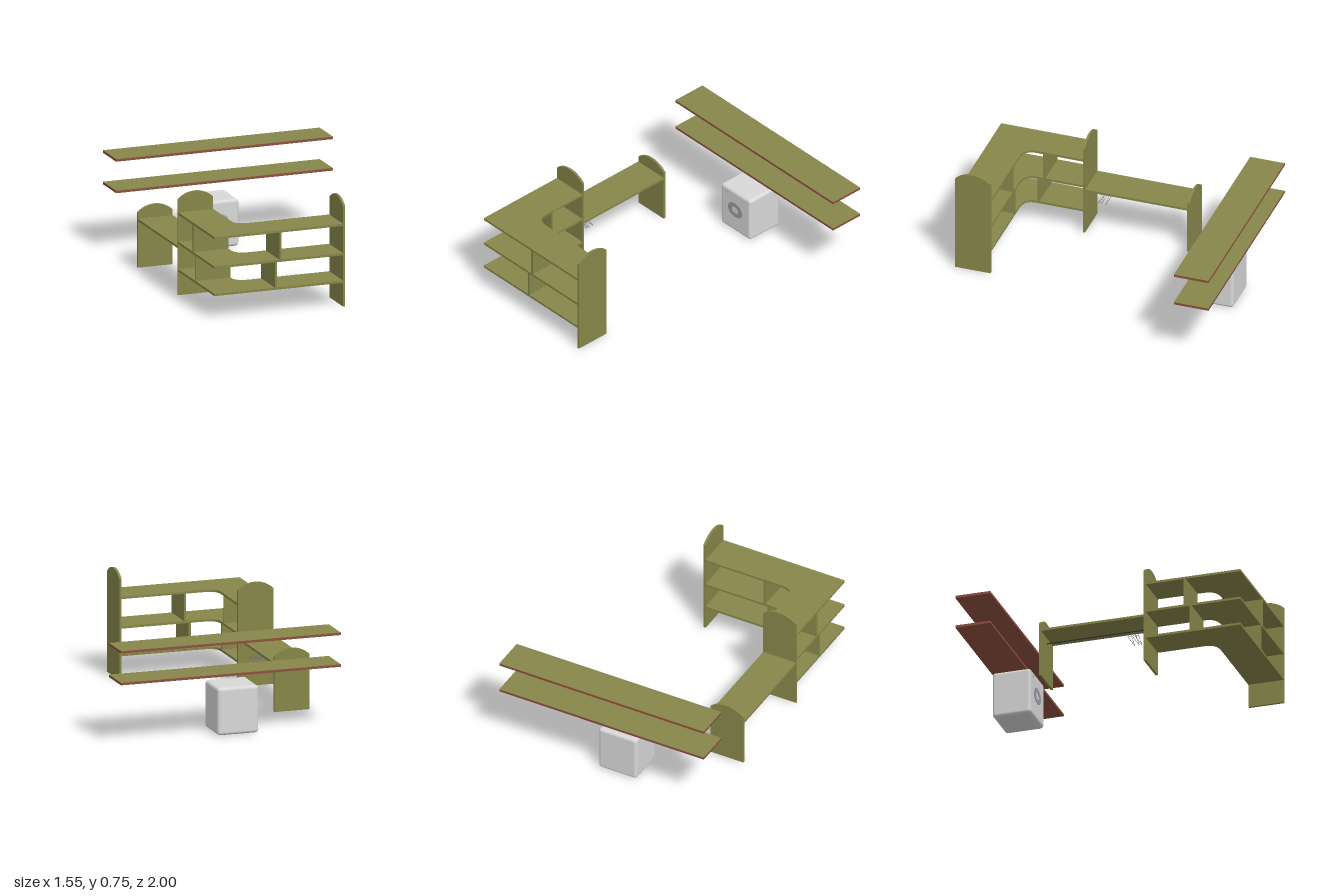
import * as THREE from 'three';
import { RoundedBoxGeometry } from 'three/addons/geometries/RoundedBoxGeometry.js';

const mat = (name, color) => {
  const m = new THREE.MeshStandardMaterial({ color });
  m.name = name;
  return m;
};

export function createModel() {
  const root = new THREE.Group();
  root.name = 'furnitureSet';
  const olive = mat('olive board', 0x86864a);
  const brown = mat('red brown edge', 0x8f5040);
  const white = mat('appliance white', 0xd8d8d8);
  const grey = mat('door grey', 0x9ba0a8);
  const dark = mat('rail dark grey', 0x38383c);
  const wire = mat('hanger grey', 0x77777f);

  const add = (name, geometry, material, parent = root) => {
    const m = new THREE.Mesh(geometry, material);
    m.name = name;
    parent.add(m);
    return m;
  };
  // Box given by its minimum and maximum corners
  const box = (name, a, b, material, parent) => {
    const m = add(name, new THREE.BoxGeometry(b[0] - a[0], b[1] - a[1], b[2] - a[2]), material, parent);
    m.position.set((a[0] + b[0]) / 2, (a[1] + b[1]) / 2, (a[2] + b[2]) / 2);
    return m;
  };

  // Upright end panel with a shallow arched top
  const W = 0.25, T = 0.016;
  const archPanel = (name, height) => {
    const h = W / 2, rise = 0.05, R = (h * h + rise * rise) / (2 * rise), a = Math.asin(h / R);
    const s = new THREE.Shape();
    s.moveTo(-h, 0);
    s.lineTo(h, 0);
    s.lineTo(h, height - rise);
    s.absarc(0, height - R, R, Math.PI / 2 - a, Math.PI / 2 + a, false);
    s.closePath();
    const g = new THREE.ExtrudeGeometry(s, { depth: T, bevelEnabled: false, curveSegments: 16 });
    g.translate(0, 0, -T / 2);
    return add(name, g, olive);
  };
  const sidePanel = archPanel('tallEndPanel', 0.745);
  sidePanel.rotation.y = Math.PI / 2;
  sidePanel.position.set(0.169, 0, 0.873);
  archPanel('middlePanel', 0.71).position.set(-0.635, 0, 0.327);
  archPanel('lowEndPanel', 0.43).position.set(-0.635, 0, -0.411);

  // Corner shelves, L shaped with a rounded inner corner
  const L = new THREE.Shape();
  L.moveTo(-0.76, 0.335);
  L.lineTo(-0.51, 0.335);
  L.lineTo(-0.51, 0.66);
  L.bezierCurveTo(-0.51, 0.725, -0.475, 0.748, -0.4, 0.748);
  L.lineTo(0.161, 0.748);
  L.lineTo(0.161, 0.998);
  L.lineTo(-0.76, 0.998);
  L.closePath();
  for (const top of [0.18, 0.37, 0.573]) {
    const g = new THREE.ExtrudeGeometry(L, { depth: T, bevelEnabled: false, curveSegments: 12 });
    g.rotateX(Math.PI / 2);
    add('cornerShelf', g, olive).position.y = top;
  }

  // Upright dividers between the shelves
  box('lowerFrontDivider', [-0.327, 0.18, 0.748], [-0.311, 0.354, 0.998], olive);
  box('upperFrontDivider', [-0.294, 0.37, 0.748], [-0.278, 0.557, 0.998], olive);
  box('lowerSideDivider', [-0.76, 0.18, 0.641], [-0.51, 0.354, 0.656], olive);
  box('upperSideDivider', [-0.76, 0.37, 0.6], [-0.51, 0.557, 0.615], olive);

  // Hanging bay: shelf, rail and hangers
  box('hangingShelf', [-0.76, 0.323, -0.403], [-0.51, 0.339, 0.319], olive);
  const rail = add('rail', new THREE.CylinderGeometry(0.004, 0.004, 0.722, 12), dark);
  rail.rotation.x = Math.PI / 2;
  rail.position.set(-0.635, 0.284, -0.042);

  const v = (x, y) => new THREE.Vector3(x, y, 0);
  const polyline = (points) => {
    const path = new THREE.CurvePath();
    for (let i = 1; i < points.length; i++) path.add(new THREE.LineCurve3(points[i - 1], points[i]));
    return path;
  };
  const bodyPath = polyline([v(0, 0.255), v(0.075, 0.215), v(-0.075, 0.215), v(0, 0.255)]);
  const hookPath = new THREE.CatmullRomCurve3([v(0, 0.255), v(0, 0.268), v(0.009, 0.28), v(0, 0.29), v(-0.009, 0.282)]);
  for (const z of [0.24, 0.222, 0.19]) {
    const hanger = new THREE.Group();
    hanger.name = 'hanger';
    hanger.position.set(-0.635, 0, z);
    add('hangerBody', new THREE.TubeGeometry(bodyPath, 48, 0.0015, 6), wire, hanger);
    add('hangerHook', new THREE.TubeGeometry(hookPath, 16, 0.0015, 6), wire, hanger);
    root.add(hanger);
  }

  // Long wall boards: olive on top, red brown elsewhere
  for (const [y0, y1] of [[0.427, 0.444], [0.645, 0.662]]) {
    box('wallBoard', [-0.777, y0, -1], [0.777, y1, -0.755], [brown, brown, olive, brown, brown, brown]);
  }

  // Washing machine
  const washer = new THREE.Group();
  washer.name = 'washingMachine';
  washer.position.set(-0.079, 0, -0.791);
  root.add(washer);
  add('washerBody', new RoundedBoxGeometry(0.29, 0.326, 0.27, 4, 0.022), white, washer).position.y = 0.165;
  const ring = new THREE.Shape();
  ring.absellipse(0, 0, 0.07, 0.056, 0, Math.PI * 2, false);
  const hole = new THREE.Path();
  hole.absellipse(0, 0, 0.032, 0.025, 0, Math.PI * 2, true);
  ring.holes.push(hole);
  add('washerDoorRing', new THREE.ExtrudeGeometry(ring, { depth: 0.004, bevelEnabled: false, curveSegments: 24 }), grey, washer)
    .position.set(0, 0.18, 0.134);
  [0.036, 0.024, 0.012].forEach((w, i) => {
    const y = 0.294 - i * 0.006;
    box('controlMark', [-0.085 - w / 2, y, 0.134], [-0.085 + w / 2, y + 0.002, 0.136], grey, washer);
  });

  return root;
}
